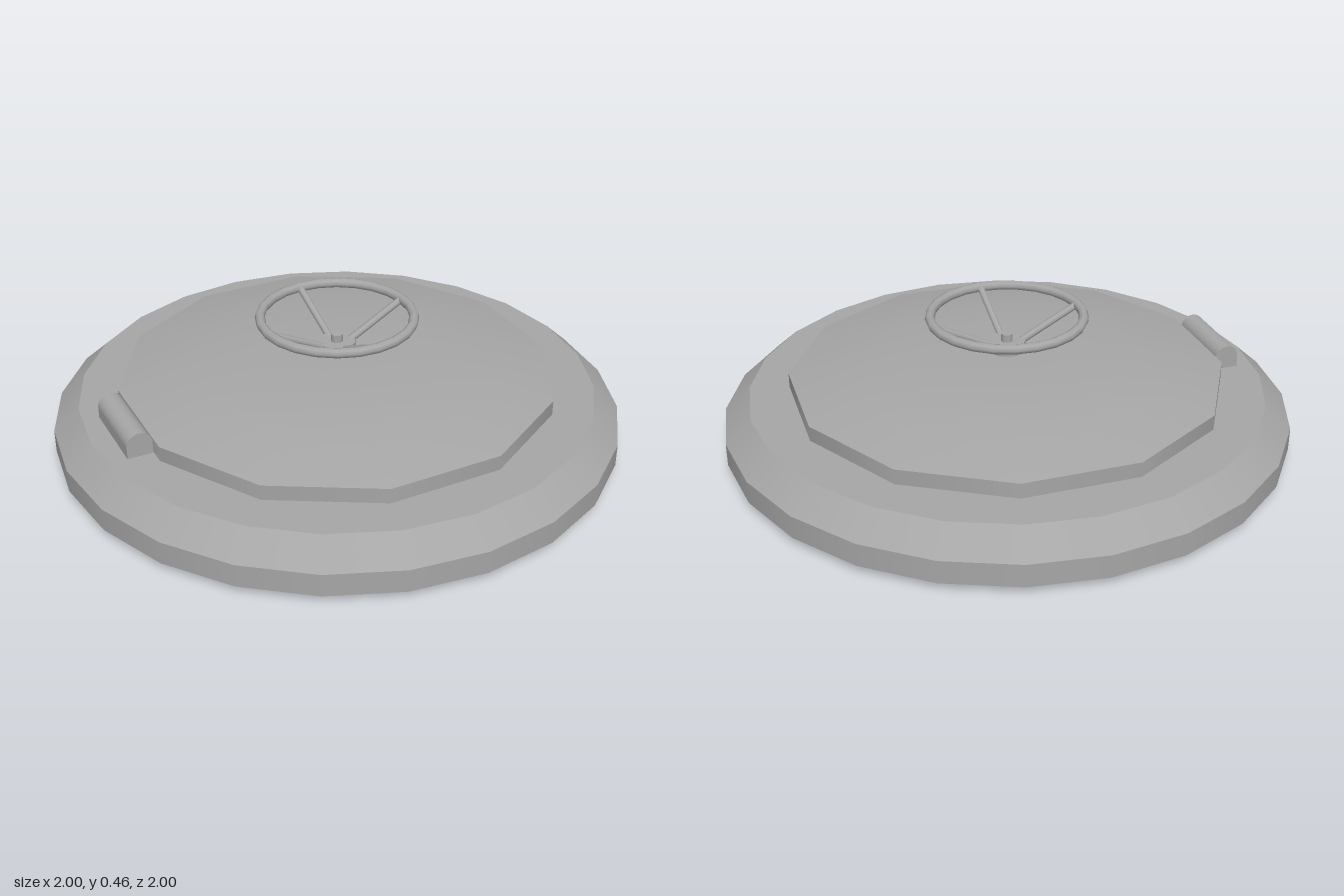
import * as THREE from 'three';

const TURN = 0.208; // rotation of the faceted rings

export function createModel() {
  const model = new THREE.Group();
  model.name = 'roundHatch';
  const metal = new THREE.MeshStandardMaterial({ color: 0xa6a6a6, side: THREE.DoubleSide });
  metal.name = 'greyMetal';

  const add = (parent, name, geometry, x = 0, y = 0, z = 0) => {
    const mesh = new THREE.Mesh(geometry, metal);
    mesh.name = name;
    mesh.position.set(x, y, z);
    parent.add(mesh);
    return mesh;
  };
  // Turned surface through [radius, height] points, listed from outside bottom to top
  const turned = (name, points, sides) =>
    add(model, name, new THREE.LatheGeometry(points.map(p => new THREE.Vector2(...p)), sides, TURN));
  // Round bar between two points
  const bar = (parent, name, a, b, radius) => {
    const dir = b.clone().sub(a);
    const mesh = add(parent, name, new THREE.CylinderGeometry(radius, radius, dir.length(), 8));
    mesh.position.copy(a).add(b).multiplyScalar(0.5);
    mesh.quaternion.setFromUnitVectors(new THREE.Vector3(0, 1, 0), dir.normalize());
  };

  // Outer flange: open underneath
  turned('flangeSide', [[1, 0.03], [1, 0.11]], 24);
  turned('flangeBevel', [[1, 0.11], [0.91, 0.19]], 24);
  turned('flangeTop', [[0.91, 0.19], [0.745, 0.19]], 24);

  // Lid: twelve-sided collar with a shallow dome
  turned('collar', [[0.77, 0.03], [0.77, 0.243]], 12);
  turned('dome', [[0.77, 0.243], [0.6, 0.28], [0.45, 0.3], [0.3, 0.312], [0.15, 0.316], [0, 0.317]], 12);

  // Inside of the lid
  turned('innerLedge', [[0.73, 0.19], [0.77, 0.19]], 12);
  turned('innerWall', [[0.73, 0.235], [0.73, 0.19]], 12);
  turned('ceiling', [[0, 0.235], [0.73, 0.235]], 12);

  // Locking plate and sliding rod under the ceiling
  const lock = new THREE.Group();
  lock.name = 'lockingGear';
  lock.rotation.y = -0.19;
  model.add(lock);
  add(lock, 'lockingPlate', new THREE.BoxGeometry(1.36, 0.03, 0.11), 0, 0.22, -0.03);
  bar(lock, 'lockingRod', new THREE.Vector3(-0.72, 0.2, 0.07), new THREE.Vector3(0.68, 0.2, 0.07), 0.013);
  for (const x of [-0.6, 0.04]) add(lock, 'rodGuide', new THREE.BoxGeometry(0.04, 0.05, 0.05), x, 0.21, 0.07);

  // Handwheel with four raked spokes; the rim lies above the hub
  const handwheel = name => {
    const wheel = new THREE.Group();
    wheel.name = name;
    const rim = add(wheel, 'rim', new THREE.TorusGeometry(0.268, 0.0175, 8, 24), 0, 0.112, 0);
    rim.rotation.x = Math.PI / 2;
    add(wheel, 'hub', new THREE.CylinderGeometry(0.065, 0.065, 0.034, 16));
    add(wheel, 'hubPin', new THREE.CylinderGeometry(0.022, 0.022, 0.04, 8), 0, 0.025, 0);
    for (let i = 0; i < 4; i++) {
      const c = Math.round(Math.cos(i * Math.PI / 2)), s = Math.round(Math.sin(i * Math.PI / 2));
      bar(wheel, 'spoke', new THREE.Vector3(0.05 * c, 0.005, 0.05 * s),
        new THREE.Vector3(0.262 * c, 0.11, 0.262 * s), 0.013);
    }
    model.add(wheel);
    return wheel;
  };
  handwheel('topHandwheel').position.y = 0.335;
  const lower = handwheel('lowerHandwheel');
  lower.rotation.x = Math.PI;
  lower.position.y = 0.13;
  add(model, 'shaft', new THREE.CylinderGeometry(0.025, 0.025, 0.2, 12), 0, 0.225, 0);

  // Hinge knuckle with a rounded top
  const half = 0.044, profile = new THREE.Shape();
  profile.moveTo(-half, 0);
  profile.lineTo(half, 0);
  profile.lineTo(half, 0.043);
  profile.absarc(0, 0.043, half, 0, Math.PI, false);
  profile.lineTo(-half, 0);
  const knuckle = new THREE.ExtrudeGeometry(profile, { depth: 0.29, bevelEnabled: false, curveSegments: 12 });
  knuckle.translate(0, 0, -0.145);
  add(model, 'hinge', knuckle, -0.788, 0.188, -0.045).rotation.y = -0.055;

  return model;
}
